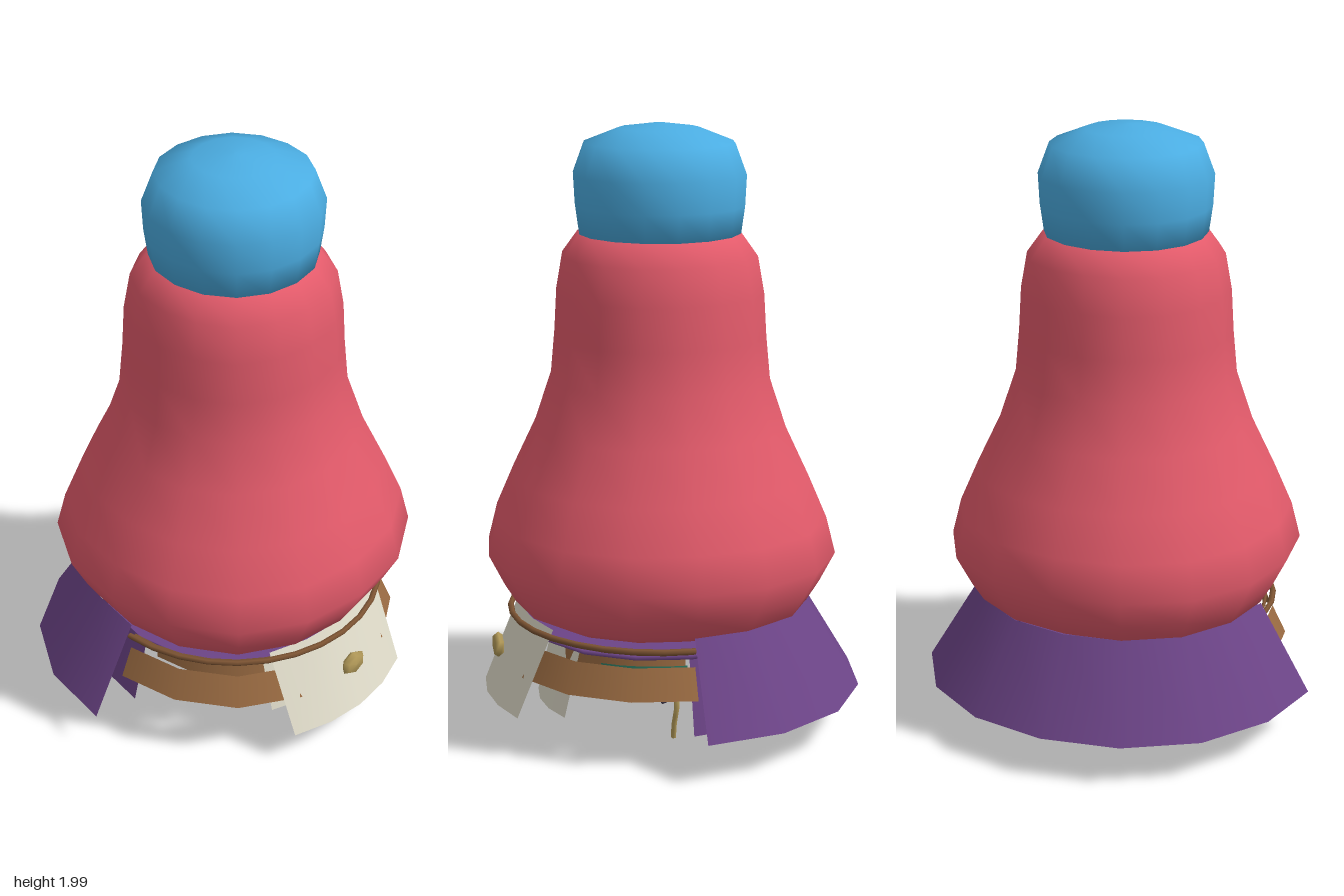
import * as THREE from 'three';

const AXIS_Z = 0.035;

export function createModel() {
  const model = new THREE.Group();
  const mat = (name, color, side = THREE.FrontSide) => {
    const m = new THREE.MeshStandardMaterial({ color, side });
    m.name = name;
    return m;
  };
  const red = mat('red cloth', 0xe25a6a);
  const blue = mat('blue cap', 0x4badE2);
  const purple = mat('purple cloth', 0x6c4487, THREE.DoubleSide);
  const cream = mat('cream cloth', 0xdedac8, THREE.DoubleSide);
  const leather = mat('tan leather', 0x9a6b42, THREE.DoubleSide);
  const cord = mat('brown cord', 0x7d5433);
  const gold = mat('gold', 0xb59c5a);
  const teal = mat('teal lining', 0x2f8068, THREE.DoubleSide);
  const dark = mat('dark trim', 0x38303f);

  const add = (name, geometry, material, x = 0, y = 0, z = AXIS_Z) => {
    const mesh = new THREE.Mesh(geometry, material);
    mesh.name = name;
    mesh.position.set(x, y, z);
    model.add(mesh);
    return mesh;
  };
  // Lathe whose diagonals swell a little, giving a softly squared plan
  const lathe = (pts, segs = 16, start = 0, length = Math.PI * 2, swell = 0.02) => {
    const g = new THREE.LatheGeometry(pts.map(([r, y]) => new THREE.Vector2(r, y)), segs, start, length);
    const p = g.attributes.position;
    for (let i = 0; i < p.count; i++) {
      const x = p.getX(i), z = p.getZ(i);
      const k = 1 + swell * Math.sin(2 * Math.atan2(z, x)) ** 2;
      p.setXYZ(i, x * k, p.getY(i), z * k);
    }
    return g;
  };
  const FRONT = -Math.PI / 2, BACK = Math.PI / 2, FULL = Math.PI * 2;

  // Swelling body and rounded cap
  add('body', lathe([[0, 0.375], [0.3, 0.378], [0.41, 0.398], [0.487, 0.437], [0.525, 0.5], [0.575, 0.6],
    [0.545, 0.72], [0.485, 0.86], [0.41, 1.02], [0.357, 1.18], [0.344, 1.32], [0.336, 1.46], [0.315, 1.58],
    [0.265, 1.65], [0.2, 1.67]], 16, 0, FULL, 0.036), red);
  add('cap', lathe([[0.2, 1.655], [0.262, 1.645], [0.275, 1.74], [0.28, 1.84], [0.243, 1.94],
    [0.13, 1.985], [0.03, 1.999], [0, 2]]), blue);

  // Back skirt in two layers
  add('outerSkirt', lathe([[0.665, 0.145], [0.49, 0.435]], 8, BACK, Math.PI), purple);
  add('innerSkirt', lathe([[0.485, 0.105], [0.41, 0.37]], 8, BACK, Math.PI), purple);
  add('underside', lathe([[0.445, 0.35], [0.455, 0.368], [0, 0.37]]), purple);

  // Leather bands around the front
  add('outerBand', lathe([[0.54, 0.245], [0.495, 0.342]], 8, FRONT, Math.PI), leather);
  add('innerBand', lathe([[0.375, 0.225], [0.36, 0.345]], 8, FRONT, Math.PI), leather);
  add('lining', lathe([[0.43, 0.255], [0.43, 0.325]], 4, 0.9, 0.65), teal);

  // Cords above the bands
  for (const [r, y, thick] of [[0.5, 0.397, 0.01], [0.475, 0.382, 0.006]]) {
    const ring = new THREE.TorusGeometry(r, thick, 6, 16, Math.PI);
    ring.rotateX(Math.PI / 2);
    add('cord', ring, cord, 0, y);
  }

  // Hanging front panels: sloped outward and bent along the middle
  const panel = (name, halfWidth, y0, y1, zBottom, zTop, bend) => {
    const g = new THREE.PlaneGeometry(2, 1, 4, 1);
    const p = g.attributes.position;
    for (let i = 0; i < p.count; i++) {
      const u = p.getX(i), t = p.getY(i) + 0.5;
      p.setXYZ(i, u * halfWidth, y0 + (y1 - y0) * t,
        zBottom + (zTop - zBottom) * t - bend * u * u);
    }
    g.computeVertexNormals();
    add(name, g, cream, 0, 0, 0);
  };
  panel('frontPanel', 0.265, 0.13, 0.42, 0.625, 0.505, 0.058);
  panel('rearPanel', 0.195, 0.09, 0.34, 0.448, 0.39, 0.048);

  // Rounded six-sided clasp
  const clasp = lathe([[0, -0.018], [0.04, -0.014], [0.052, 0], [0.04, 0.014], [0, 0.018]], 6, 0, FULL, 0);
  clasp.rotateX(Math.PI / 2);
  add('clasp', clasp, gold, 0, 0.292, 0.585).scale.y = 0.85;

  // Dangling gold strap
  const strapPath = new THREE.CatmullRomCurve3([[0.24, 0.008, 0.045], [0.255, 0.07, 0.045],
    [0.268, 0.13, 0.04], [0.25, 0.24, 0.05], [0.2, 0.34, 0.06]].map(p => new THREE.Vector3(...p)));
  add('strap', new THREE.TubeGeometry(strapPath, 12, 0.009, 5), gold, 0, 0, 0);
  const hoop = new THREE.TorusGeometry(0.3, 0.01, 6, 14, Math.PI);
  hoop.rotateX(-Math.PI / 2);
  add('hoop', hoop, gold, 0, 0.33);

  // Heaped cord hidden under the body
  for (let i = 0; i < 3; i++) {
    const coil = new THREE.TorusGeometry(0.13 + i * 0.03, 0.026, 6, 12, Math.PI * 1.2);
    coil.rotateX(Math.PI / 2 + (i - 1) * 0.15);
    add('coil', coil, cord, 0, 0.27 + i * 0.02, 0.06).rotation.y = 0.3 * (i - 1);
  }
  add('knot', new THREE.SphereGeometry(0.04, 8, 6), cord, 0.19, 0.17, 0.06).scale.set(0.6, 1, 0.55);
  add('knotTail', new THREE.BoxGeometry(0.015, 0.06, 0.02), dark, 0.2, 0.145, 0.075).rotation.x = 0.3;

  // Dark slips scattered over the heap
  for (let i = 0; i < 22; i++) {
    const a = i * 2.4, r = 0.05 + 0.008 * i;
    add('slip', new THREE.BoxGeometry(0.045, 0.075, 0.012), dark,
      Math.sin(a) * r, 0.29 + 0.02 * (i % 3), 0.05 + Math.cos(a) * r).rotation.set(0.5, a, 0.6);
  }

  // Studs inside the band
  for (let i = 0; i < 4; i++) {
    const a = -0.7 - i * 0.15;
    add('stud', new THREE.SphereGeometry(0.013, 6, 5), cord,
      Math.sin(a) * 0.355, 0.27, AXIS_Z + Math.cos(a) * 0.355);
  }
  return model;
}
